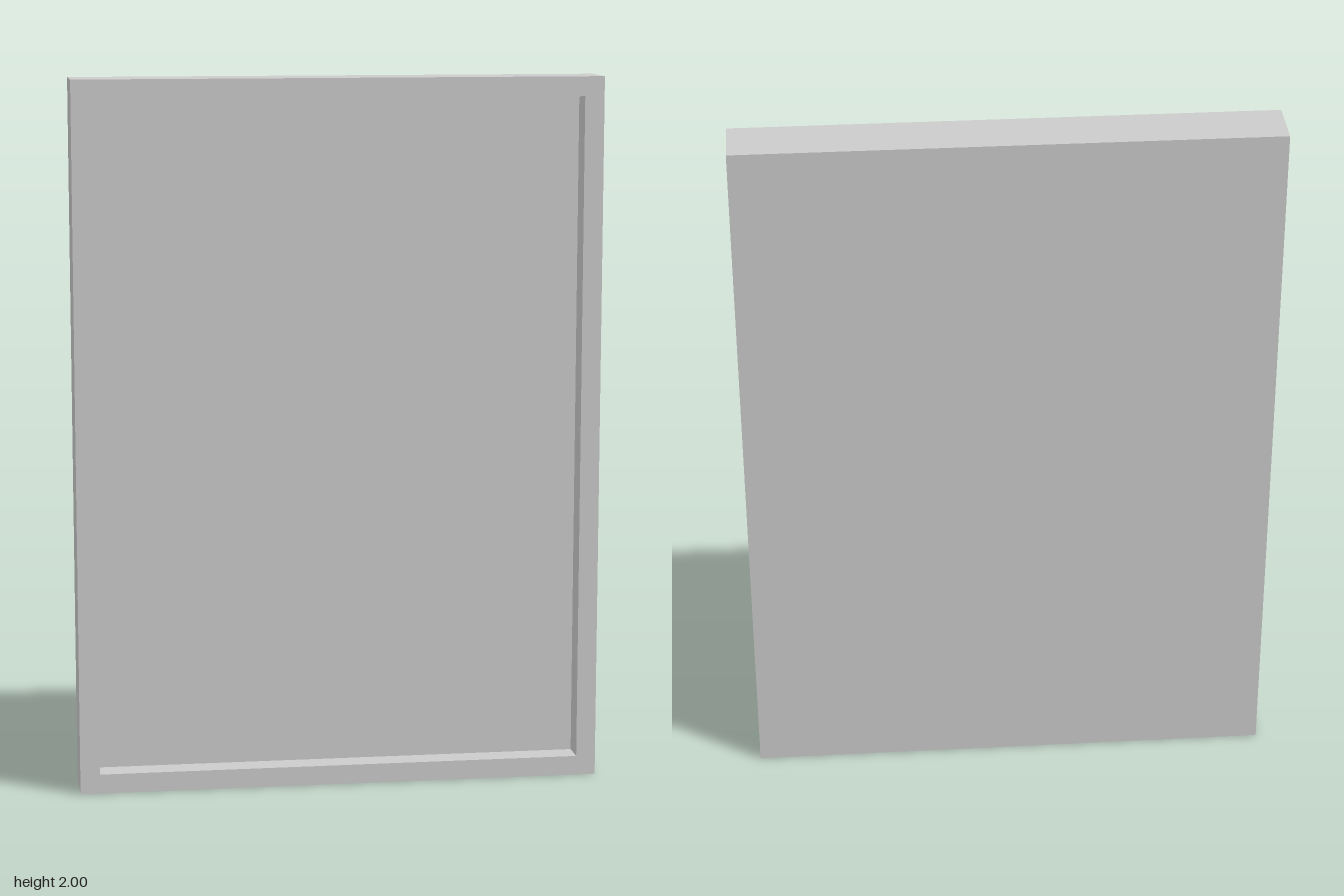
import * as THREE from 'three';

const WIDTH = 1.48, HEIGHT = 2, DEPTH = 0.156;
const BORDER = 0.055, RECESS = 0.074;

// Rectangular cross-section, counter-clockwise seen from the front
function rectLoop(inset, z) {
  const x = WIDTH / 2 - inset, y0 = inset, y1 = HEIGHT - inset;
  return [[-x, y0, z], [x, y0, z], [x, y1, z], [-x, y1, z]];
}

// Skin of quads joining successive loops, capped at both ends
function loftLoops(loops) {
  const positions = [];
  const quad = (a, b, c, d) => positions.push(...a, ...b, ...c, ...a, ...c, ...d);
  for (let i = 0; i < loops.length - 1; i++) {
    const p = loops[i], q = loops[i + 1];
    for (let j = 0; j < 4; j++) {
      const k = (j + 1) % 4;
      quad(p[j], p[k], q[k], q[j]);
    }
  }
  const [a, b, c, d] = loops[0];
  quad(d, c, b, a);
  quad(...loops[loops.length - 1]);
  const geometry = new THREE.BufferGeometry();
  geometry.setAttribute('position', new THREE.Float32BufferAttribute(positions, 3));
  geometry.computeVertexNormals();
  return geometry;
}

export function createModel() {
  const group = new THREE.Group();
  group.name = 'framedPanel';

  // Closed slab: back, outer sides, front border, recess walls, recessed panel
  const front = DEPTH / 2;
  const frame = new THREE.Mesh(
    loftLoops([
      rectLoop(0, -front),
      rectLoop(0, front),
      rectLoop(BORDER, front),
      rectLoop(BORDER, front - RECESS),
    ]),
    new THREE.MeshStandardMaterial({ color: 0xcccccc, flatShading: true })
  );
  frame.name = 'frameWithRecessedPanel';
  group.add(frame);
  return group;
}
